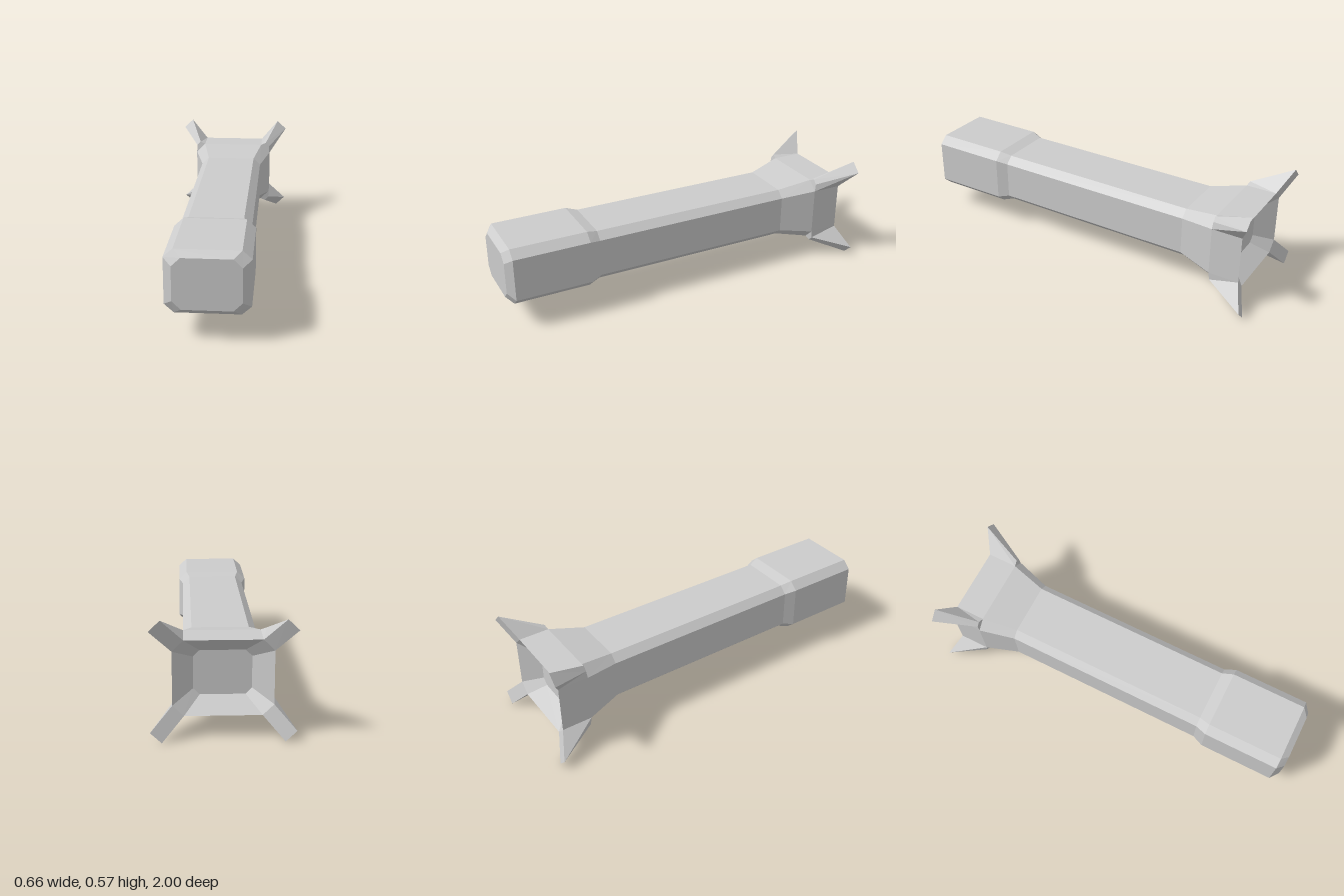
import * as THREE from 'three';

const CY = 0.288; // height of the long axis

const material = new THREE.MeshStandardMaterial({ color: 0xcccccc, flatShading: true });

// Builds a flat-shaded mesh from convex polygons given as lists of [x, y, z]
function polyMesh(name, polys) {
  const pos = [];
  for (const p of polys)
    for (let i = 1; i < p.length - 1; i++) pos.push(...p[0], ...p[i], ...p[i + 1]);
  const geo = new THREE.BufferGeometry();
  geo.setAttribute('position', new THREE.Float32BufferAttribute(pos, 3));
  geo.computeVertexNormals();
  const mesh = new THREE.Mesh(geo, material);
  mesh.name = name;
  return mesh;
}

// Chamfered rectangle, counter-clockwise seen from the front:
// w, h = half size; cw, ch = half length of the straight edges
function ring([z, w, h, cw, ch]) {
  return [[w, -ch], [w, ch], [cw, h], [-cw, h], [-w, ch], [-w, -ch], [-cw, -h], [cw, -h]]
    .map(([x, y]) => [x, y, z]);
}

// Skins consecutive rings, listed from front to back
function loft(rings) {
  const polys = [];
  for (let k = 0; k < rings.length - 1; k++) {
    const a = rings[k], b = rings[k + 1];
    for (let i = 0; i < 8; i++) {
      const j = (i + 1) % 8;
      polys.push([a[i], b[i], b[j], a[j]]);
    }
  }
  return polys;
}

// One flared corner fin; sx, sy choose the corner
function cornerFin(name, sx, sy) {
  const a0 = [0.178, 0.178, -0.785], a1 = [0.178, 0.178, -0.945];
  const b0 = [0.23, 0.127, -0.785], b1 = [0.23, 0.127, -0.945];
  const s1 = [0.207, 0.19, -0.79], s2 = [0.228, 0.168, -0.79];
  const t1 = [0.278, 0.285, -1], t2 = [0.33, 0.235, -1];
  const polys = [
    [b0, s2, s1, a0], // front step
    [s1, s2, t2, t1], // outer face
    [a0, s1, t1, a1], // side faces
    [b1, t2, s2, b0].reverse().map((_, i) => [b0, b1, t2, s2][i]),
    [a1, t1, t2, b1], // rear face
  ].map((p) => {
    const q = p.map(([x, y, z]) => [x * sx, y * sy, z]);
    return sx * sy < 0 ? q.reverse() : q;
  });
  return polyMesh(name, polys);
}

export function createModel() {
  const model = new THREE.Group();
  model.name = 'flaredShaft';
  const axis = new THREE.Group();
  axis.name = 'shaftAssembly';
  axis.position.y = CY;
  model.add(axis);

  // Sections: z, half width, half height, straight half width, straight half height
  const nose = ring([1, 0.16, 0.125, 0.118, 0.084]);
  const headFront = ring([0.965, 0.2, 0.155, 0.155, 0.114]);
  const headBack = ring([0.56, 0.2, 0.155, 0.155, 0.114]);
  const shaftFront = ring([0.5, 0.178, 0.138, 0.138, 0.1]);
  const shaftBack = ring([-0.6, 0.178, 0.138, 0.138, 0.1]);
  const collar = ring([-0.785, 0.23, 0.178, 0.178, 0.127]);
  const rim = ring([-0.945, 0.23, 0.178, 0.178, 0.127]);
  const recess = ring([-0.86, 0.135, 0.106, 0.105, 0.076]);

  axis.add(polyMesh('head', [nose, ...loft([nose, headFront, headBack, shaftFront])]));
  axis.add(polyMesh('shaft', loft([shaftFront, shaftBack])));
  axis.add(polyMesh('flaredTail', loft([shaftBack, collar, rim])));
  axis.add(polyMesh('tailRecess', [...loft([rim, recess]), [...recess].reverse()]));

  for (const sx of [1, -1])
    for (const sy of [1, -1])
      axis.add(cornerFin(`${sy > 0 ? 'upper' : 'lower'}${sx > 0 ? 'Left' : 'Right'}Fin`, sx, sy));

  return model;
}
